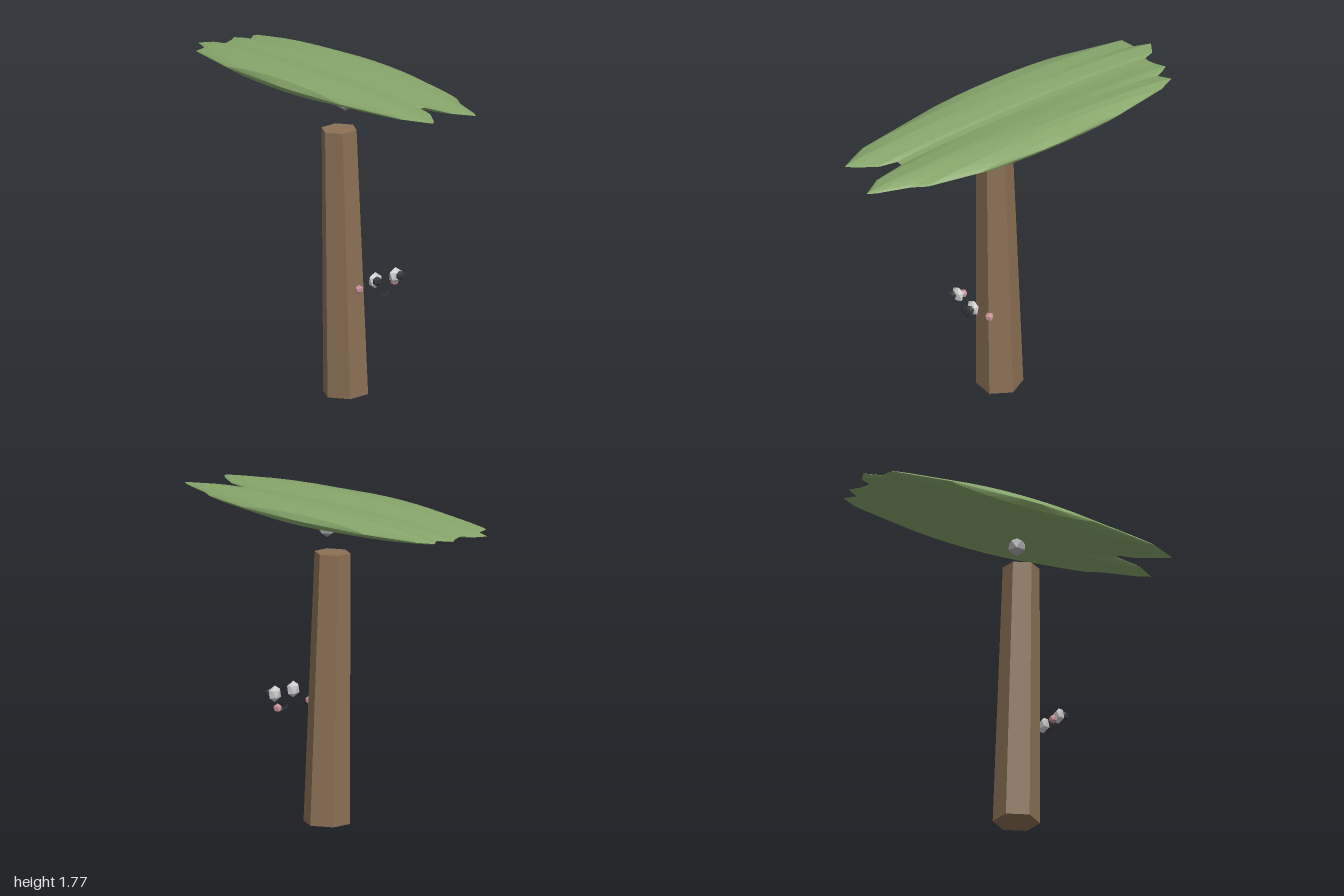
import * as THREE from 'three';

const mat = (color, extra = {}) =>
  new THREE.MeshStandardMaterial({ color, flatShading: true, ...extra });

function add(group, name, geometry, material, x, y, z) {
  const mesh = new THREE.Mesh(geometry, material);
  mesh.name = name;
  mesh.position.set(x, y, z);
  group.add(mesh);
  return mesh;
}

// Low-poly ball with one corner straight up
const ball = (r) => new THREE.IcosahedronGeometry(r, 0).rotateZ(Math.atan(2 / (1 + Math.sqrt(5))));

// Flattened canopy: each column across x is a lens running from the back z to the front z
function canopyGeometry() {
  // x, back z, front z, height above, depth below
  const columns = [
    [-0.323, -0.12, 0.0, 0, 0], [-0.3, -0.56, 0.35, 0.033, 0.03],
    [-0.23, -0.89, 0.78, 0.048, 0.04], [-0.153, -0.91, 0.945, 0.053, 0.045],
    [-0.12, -1.0, 0.91, 0.052, 0.049], [-0.05, -0.96, 0.8, 0.043, 0.053],
    [-0.03, -0.9, 0.69, 0.036, 0.055], [0.005, -0.905, 0.69, 0.035, 0.055],
    [0.04, -0.92, 0.87, 0.04, 0.053], [0.09, -0.95, 0.95, 0.048, 0.05],
    [0.11, -0.92, 0.985, 0.051, 0.05], [0.135, -0.87, 0.94, 0.053, 0.05],
    [0.195, -0.915, 0.76, 0.055, 0.052], [0.24, -0.82, 0.68, 0.05, 0.045],
    [0.3, -0.5, 0.38, 0.03, 0.03], [0.322, -0.1, 0.0, 0, 0],
  ];
  const rows = 12;
  const positions = [];
  const index = [];
  for (const side of [1, -1]) {
    const base = positions.length / 3;
    for (const [x, back, front, up, down] of columns) {
      for (let j = 0; j <= rows; j++) {
        const t = Math.sin((j / rows - 0.5) * Math.PI);
        const lens = Math.pow(Math.max(0, 1 - t * t), 0.75);
        const h = side > 0 ? up : -down;
        positions.push(x, 1.72 + h * lens, (back + front) / 2 + ((front - back) / 2) * t);
      }
    }
    for (let i = 0; i < columns.length - 1; i++) {
      for (let j = 0; j < rows; j++) {
        const a = base + i * (rows + 1) + j;
        const b = a + 1;
        const c = a + rows + 1;
        const d = c + 1;
        if (side > 0) index.push(a, b, c, b, d, c);
        else index.push(a, c, b, b, c, d);
      }
    }
  }
  const geometry = new THREE.BufferGeometry();
  geometry.setAttribute('position', new THREE.Float32BufferAttribute(positions, 3));
  geometry.setIndex(index);
  geometry.computeVertexNormals();
  return geometry;
}

export function createModel() {
  const model = new THREE.Group();
  model.name = 'tree';
  const grey = mat(0xcccccc);
  const dark = mat(0x33363c, { side: THREE.DoubleSide });
  const pink = mat(0xc98f98);

  // Six-sided trunk leaning slightly to the side
  const trunk = add(model, 'trunk',
    new THREE.CylinderGeometry(0.098, 0.126, 1.465, 6).rotateY(Math.PI / 6),
    mat(0x8b7055), -0.022, 0.737, 0.055);
  trunk.rotation.z = 0.031;

  add(model, 'canopy', canopyGeometry(), mat(0x86a66a), 0, 0, 0);
  add(model, 'knob', ball(0.05), mat(0xa9a9ad), -0.003, 1.61, 0.055);

  // Face floating in front of the trunk
  const face = new THREE.Group();
  face.name = 'face';
  face.position.x = 0.056;
  model.add(face);
  for (const s of [1, -1]) {
    const side = s > 0 ? 'left' : 'right';
    const eye = add(face, side + 'Eye', ball(0.045), grey, s * 0.071, 0.685, 0.313);
    eye.scale.z = 0.6;
    add(face, side + 'Pupil', ball(0.027), dark, s * 0.081, 0.687, 0.339);
    add(face, side + 'Cheek', ball(0.025), pink, s * 0.123, 0.628, 0.243);
  }

  // Thin curved smile
  add(face, 'mouth',
    new THREE.RingGeometry(0.035, 0.05, 8, 1, Math.PI * 1.5 - 0.84, 1.68),
    dark, 0, 0.635, 0.313);

  return model;
}
